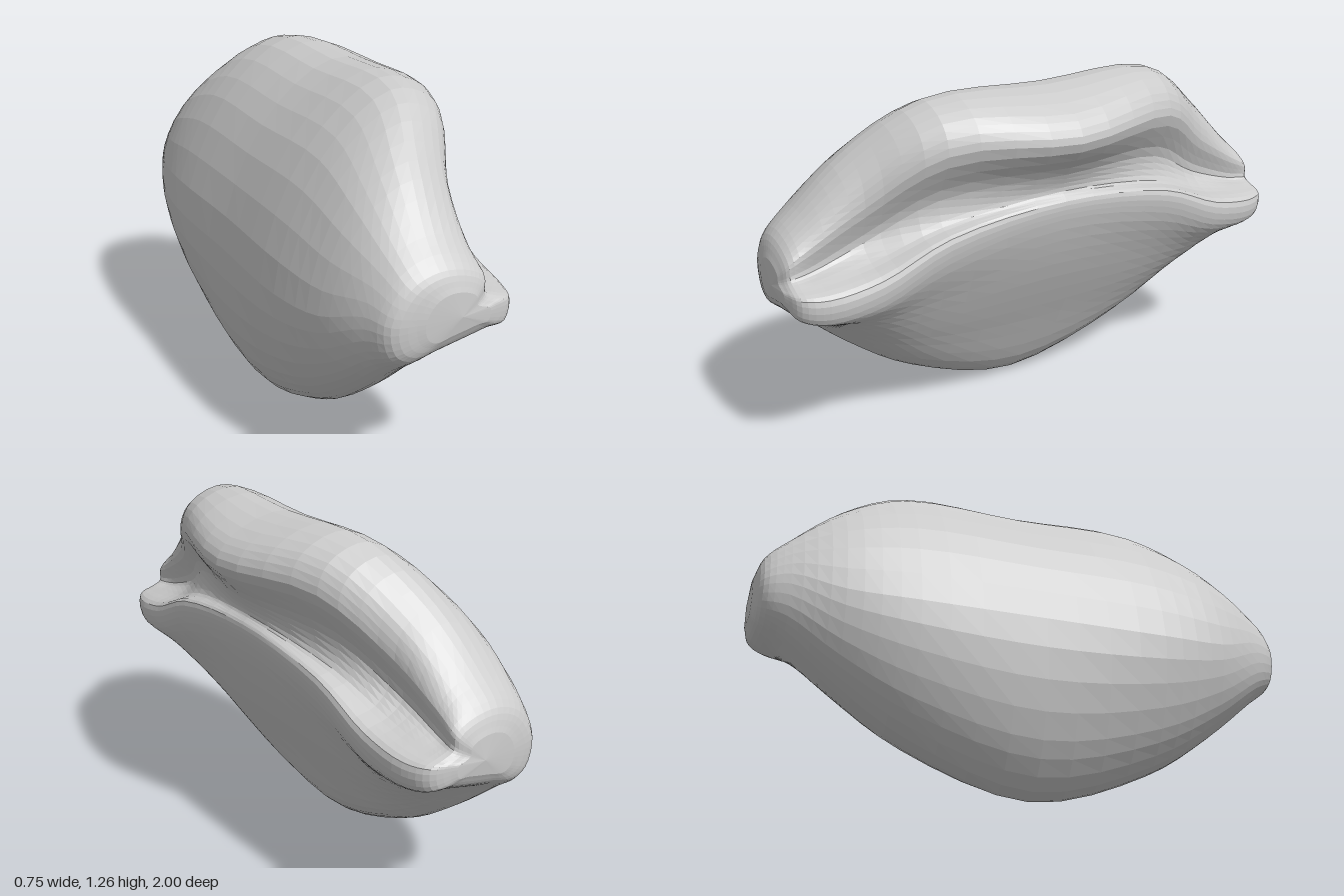
import * as THREE from 'three';

// Half of the folded body: [z, outline as x,y pairs] from the middle to one end.
// Outline order: bottom, flat face, lip, groove, upper bulge, rounded back.
const STATIONS = [
  [0, [-.17, 0, -.09, .045, .06, .31, .2, .59, .27, .79, .275, .86, .25, .89, .275, .96, .375, 1.1, .315, 1.19, .08, 1.25, -.2, 1.04, -.372, .6, -.31, .17]],
  [.45, [-.17, .145, -.05, .19, .07, .35, .18, .55, .26, .72, .265, .81, .2, .83, .18, .92, .265, 1.1, .22, 1.2, .06, 1.245, -.2, 1.04, -.372, .6, -.3, .27]],
  [.7, [-.17, .315, -.04, .35, .08, .43, .18, .53, .25, .615, .255, .71, .16, .74, .1, .79, .14, .93, .11, 1.03, -.02, 1.085, -.21, .96, -.335, .62, -.28, .4]],
  [.88, [-.17, .47, -.05, .5, .07, .535, .16, .56, .23, .59, .24, .68, .16, .71, .1, .73, .11, .82, .06, .88, -.06, .905, -.19, .85, -.27, .68, -.25, .53]],
  [.965, [-.15, .54, -.05, .56, .05, .58, .12, .595, .19, .605, .2, .68, .15, .7, .11, .72, .105, .77, .05, .805, -.06, .82, -.16, .78, -.225, .67, -.205, .57]],
];
const POINTS = 14, AROUND = 56, ALONG = 40;

const ring = ([z, o]) => Array.from({ length: POINTS }, (_, j) =>
  new THREE.Vector3(o[2 * j], o[2 * j + 1], z));

function centreOf(points) {
  const c = new THREE.Vector3();
  points.forEach(p => c.add(p));
  return c.divideScalar(points.length);
}

function foldedBody() {
  const half = STATIONS.map(ring);

  // Small rounded end
  const last = half[half.length - 1], c = centreOf(last);
  half.push(last.map(p => p.clone().lerp(c, .45).setZ(.993)));

  // Mirror to the other end
  const mirrored = half.slice(1).reverse().map(r =>
    r.map(p => new THREE.Vector3(p.x, p.y, -p.z)));
  const rings = [...mirrored, ...half];

  // Rails run along z; each sampled section is a smooth closed loop
  const rails = Array.from({ length: POINTS }, (_, j) =>
    new THREE.CatmullRomCurve3(rings.map(r => r[j])));
  const verts = [], index = [];
  const ends = [];
  for (let i = 0; i <= ALONG; i++) {
    const loop = new THREE.CatmullRomCurve3(rails.map(r => r.getPoint(i / ALONG)), true);
    const pts = Array.from({ length: AROUND }, (_, k) => loop.getPoint(k / AROUND));
    pts.forEach(p => verts.push(p.x, Math.max(0, p.y), p.z));
    if (i === 0 || i === ALONG) ends.push(centreOf(pts));
  }
  ends.forEach(p => verts.push(p.x, p.y, Math.sign(p.z)));

  // Skin between the sections
  const at = (i, k) => i * AROUND + k % AROUND;
  for (let i = 0; i < ALONG; i++) {
    for (let k = 0; k < AROUND; k++) {
      const a = at(i, k), b = at(i, k + 1), d = at(i + 1, k), e = at(i + 1, k + 1);
      index.push(a, b, e, a, e, d);
    }
  }
  // End caps
  const back = (ALONG + 1) * AROUND;
  for (let k = 0; k < AROUND; k++) {
    index.push(back, at(0, k + 1), at(0, k));
    index.push(back + 1, at(ALONG, k), at(ALONG, k + 1));
  }

  const geometry = new THREE.BufferGeometry();
  geometry.setAttribute('position', new THREE.Float32BufferAttribute(verts, 3));
  geometry.setIndex(index);
  geometry.computeVertexNormals();
  return geometry;
}

export function createModel() {
  const group = new THREE.Group();
  group.name = 'foldedDumpling';
  const body = new THREE.Mesh(foldedBody(),
    new THREE.MeshStandardMaterial({ color: 0xcccccc, flatShading: true }));
  body.name = 'foldedBody';
  group.add(body);
  return group;
}
